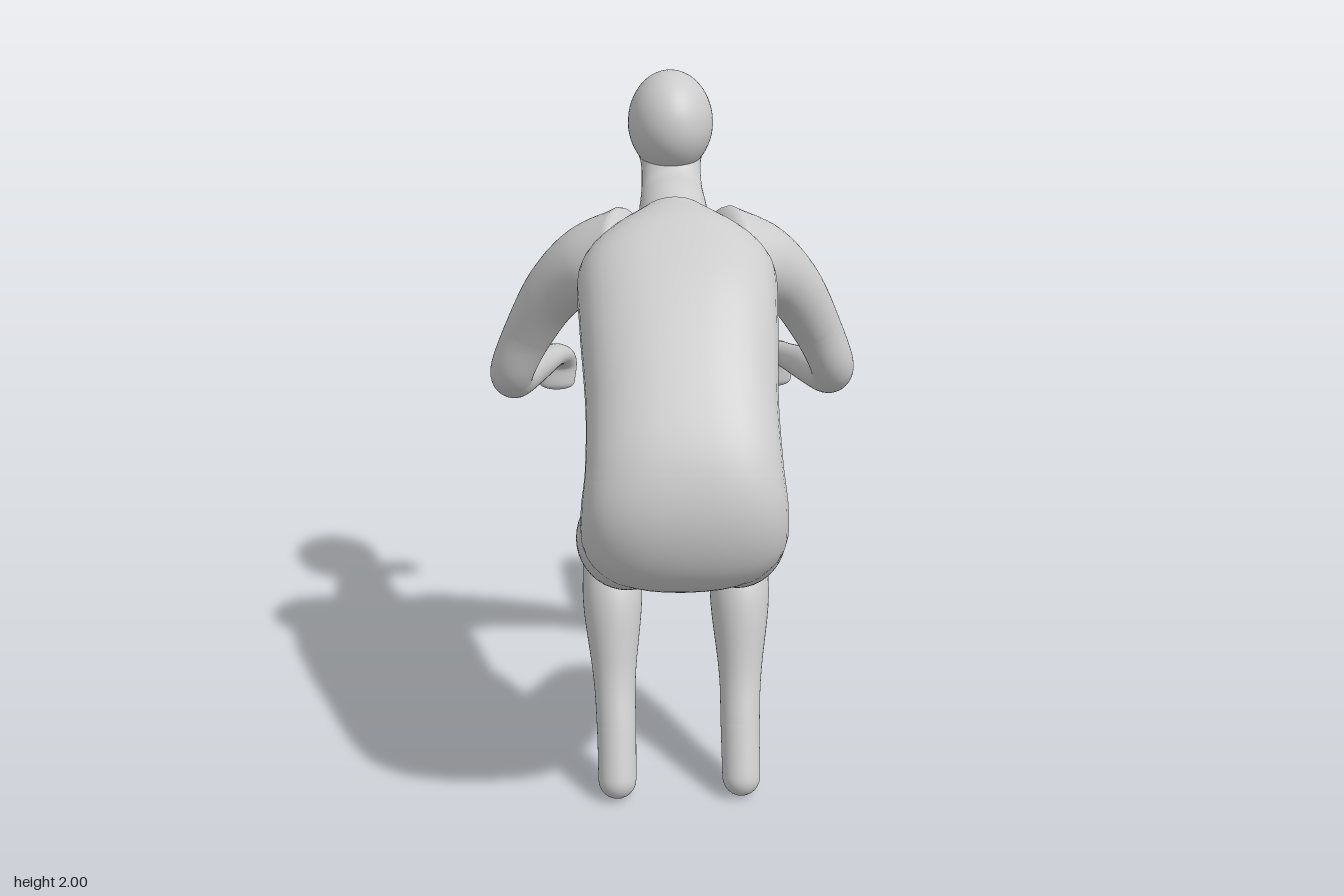
import * as THREE from 'three';

const grey = new THREE.MeshStandardMaterial({ color: 0xcccccc });
grey.name = 'plain grey';

const AROUND = 40;

// Sections: [x, y, z, half width, half depth, squareness (2 = ellipse)].
// Skins the stretch of sections from index a to index b; capA and capB are rounded end lengths.
function loft(name, sections, a, b, capA = 0, capB = 0) {
  const path = new THREE.CatmullRomCurve3(sections.map(s => new THREE.Vector3(s[0], s[1], s[2])));
  const size = new THREE.CatmullRomCurve3(
    sections.map(s => new THREE.Vector3(s[3], s[4], s[5] || 2)), false, 'catmullrom', 0.5);
  const last = sections.length - 1;
  const rings = [];
  const addRing = (u, push, scale) => rings.push({ u, push, scale });
  const steps = Math.ceil((b - a) * 8);
  for (let k = 6; capA && k > 0; k--) {
    const t = k / 6 * Math.PI / 2;
    addRing(a, -capA * Math.sin(t), Math.max(Math.cos(t), 0.01));
  }
  for (let k = 0; k <= steps; k++) addRing(a + (b - a) * k / steps, 0, 1);
  for (let k = 1; capB && k <= 6; k++) {
    const t = k / 6 * Math.PI / 2;
    addRing(b, capB * Math.sin(t), Math.max(Math.cos(t), 0.01));
  }

  const positions = [], index = [];
  const power = (v, n) => Math.sign(v) * Math.pow(Math.abs(v), 2 / n);
  rings.forEach(({ u, push, scale }, i) => {
    const t = u / last;
    const tangent = path.getTangent(t);
    const centre = path.getPoint(t).addScaledVector(tangent, push);
    const side = new THREE.Vector3(1, 0, 0);
    side.addScaledVector(tangent, -side.dot(tangent)).normalize();
    const normal = new THREE.Vector3().crossVectors(tangent, side);
    const r = size.getPoint(t);
    for (let j = 0; j < AROUND; j++) {
      const q = j / AROUND * Math.PI * 2;
      const p = centre.clone()
        .addScaledVector(side, r.x * scale * power(Math.cos(q), r.z))
        .addScaledVector(normal, r.y * scale * power(Math.sin(q), r.z));
      positions.push(p.x, p.y, p.z);
      if (i < rings.length - 1) {
        const j2 = (j + 1) % AROUND;
        const A = i * AROUND + j, B = i * AROUND + j2;
        index.push(A, B, A + AROUND, B, B + AROUND, A + AROUND);
      }
    }
  });
  const geometry = new THREE.BufferGeometry();
  geometry.setAttribute('position', new THREE.Float32BufferAttribute(positions, 3));
  geometry.setIndex(index);
  geometry.computeVertexNormals();
  const mesh = new THREE.Mesh(geometry, grey);
  mesh.name = name;
  return mesh;
}

const mirror = (sections, s) => sections.map(([x, ...rest]) => [x * s, ...rest]);

// Leaning trunk, from the collar down to the seat
const TRUNK = [
  [0, 1.62, -0.08, 0.105, 0.105, 2],
  [0, 1.575, 0.0, 0.20, 0.15, 2.2],
  [0, 1.525, 0.095, 0.265, 0.172, 2.4],
  [0, 1.435, 0.235, 0.265, 0.185, 2.5],
  [0, 1.27, 0.43, 0.252, 0.178, 2.6],
  [0, 1.15, 0.54, 0.256, 0.165, 2.7],
  [0, 1.06, 0.575, 0.268, 0.155, 2.7],
  [0, 0.97, 0.55, 0.268, 0.155, 2.5],
  [0, 0.90, 0.49, 0.235, 0.125, 2.3],
];

const NECK = [
  [0, 1.60, -0.05, 0.102, 0.10],
  [0, 1.65, -0.12, 0.094, 0.084],
  [0, 1.69, -0.20, 0.085, 0.062],
  [0, 1.745, -0.265, 0.085, 0.078],
  [0, 1.80, -0.29, 0.102, 0.11],
  [0, 1.85, -0.29, 0.09, 0.10],
];

// Shoulder, elbow, wrist and folded-down hand
const ARM = [
  [0.14, 1.545, 0.02, 0.13, 0.15],
  [0.23, 1.52, -0.02, 0.115, 0.12],
  [0.32, 1.45, -0.06, 0.088, 0.09],
  [0.41, 1.295, -0.115, 0.071, 0.071],
  [0.463, 1.165, -0.148, 0.063, 0.063],
  [0.46, 1.12, -0.20, 0.058, 0.058],
  [0.417, 1.09, -0.35, 0.053, 0.052],
  [0.37, 1.06, -0.51, 0.044, 0.038],
  [0.352, 1.042, -0.59, 0.044, 0.035],
  [0.345, 1.015, -0.66, 0.058, 0.035],
  [0.345, 0.975, -0.691, 0.064, 0.027, 2.4],
  [0.345, 0.915, -0.688, 0.056, 0.023, 2.4],
];

// Hip, knee, shin and rounded foot
const LEG = [
  [0.135, 0.985, 0.54, 0.13, 0.155],
  [0.15, 0.885, 0.39, 0.134, 0.142],
  [0.172, 0.805, 0.22, 0.112, 0.118],
  [0.183, 0.755, 0.085, 0.10, 0.098],
  [0.185, 0.705, 0.012, 0.09, 0.088],
  [0.185, 0.64, 0.025, 0.084, 0.085],
  [0.185, 0.52, 0.082, 0.085, 0.096],
  [0.183, 0.33, 0.165, 0.062, 0.068],
  [0.18, 0.20, 0.23, 0.057, 0.06],
  [0.18, 0.06, 0.297, 0.055, 0.056],
];

export function createModel() {
  const model = new THREE.Group();
  model.name = 'crouchingFigure';

  model.add(loft('shirt', TRUNK, 0, 5.3));
  model.add(loft('seat', TRUNK, 5.3, 8, 0, 0.08));
  model.add(loft('neck', NECK, 0, 5));

  // Egg-shaped head, slimmer toward the jaw
  const egg = new THREE.SphereGeometry(1, 48, 32);
  const p = egg.attributes.position;
  for (let i = 0; i < p.count; i++) {
    const y = p.getY(i);
    const slim = y < 0 ? 1 - 0.1 * y * y : 1;
    p.setXYZ(i, p.getX(i) * 0.12 * slim, y * 0.147, p.getZ(i) * 0.147 * slim);
  }
  egg.computeVertexNormals();
  const head = new THREE.Mesh(egg, grey);
  head.name = 'head';
  head.position.set(0, 1.853, -0.287);
  model.add(head);

  for (const [label, s] of [['left', 1], ['right', -1]]) {
    const arm = new THREE.Group();
    arm.name = label + 'Arm';
    const armPath = mirror(ARM, s);
    arm.add(loft('sleeve', armPath, 0, 3, 0.05));
    arm.add(loft('forearm', armPath, 3, 7));
    arm.add(loft('hand', armPath, 7, 11, 0, 0.024));

    const leg = new THREE.Group();
    leg.name = label + 'Leg';
    const legPath = mirror(LEG, s);
    leg.add(loft('thigh', legPath, 0, 3, 0.08));
    leg.add(loft('shin', legPath, 3, 8));
    leg.add(loft('foot', legPath, 8, 9, 0, 0.055));
    model.add(arm, leg);
  }
  return model;
}
